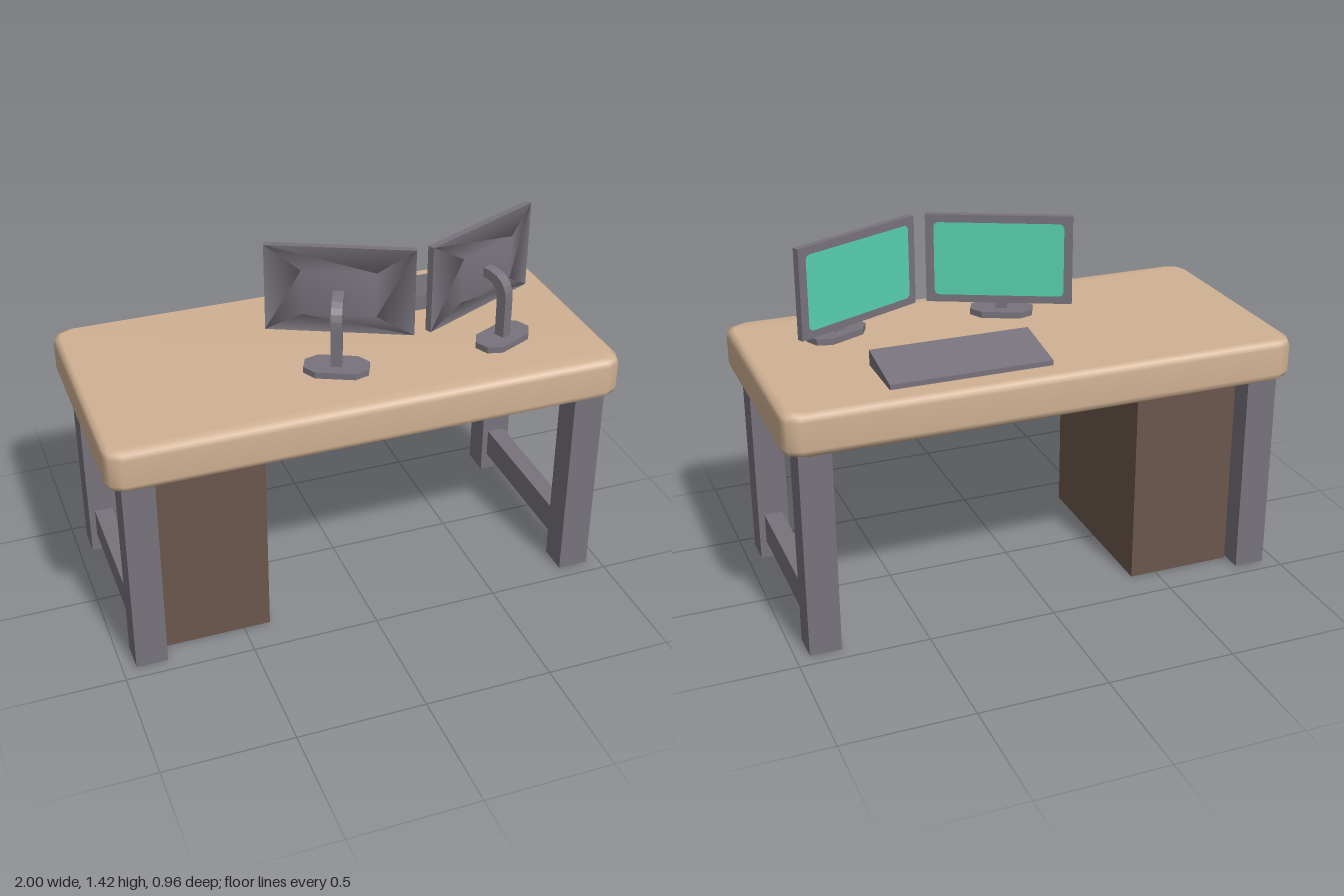
import * as THREE from 'three';

const mat = (name, color, side = THREE.FrontSide) => {
  const m = new THREE.MeshStandardMaterial({ color, side });
  m.name = name;
  return m;
};

function add(parent, name, geometry, material, x = 0, y = 0, z = 0) {
  const mesh = new THREE.Mesh(geometry, material);
  mesh.name = name;
  mesh.position.set(x, y, z);
  parent.add(mesh);
  return mesh;
}

// Smooth solid through stacked outlines; each ring is { y, pts: [[x, z], ...] }
function loft(rings) {
  const n = rings[0].pts.length, pos = [], idx = [];
  rings.forEach(r => r.pts.forEach(([x, z]) => pos.push(x, r.y, z)));
  for (let r = 0; r < rings.length - 1; r++) {
    for (let i = 0; i < n; i++) {
      const a = r * n + i, b = r * n + (i + 1) % n;
      idx.push(a, a + n, b + n, a, b + n, b);
    }
  }
  const top = (rings.length - 1) * n;
  for (let i = 1; i < n - 1; i++) {
    idx.push(0, i, i + 1, top, top + i + 1, top + i);
  }
  const g = new THREE.BufferGeometry();
  g.setAttribute('position', new THREE.Float32BufferAttribute(pos, 3));
  g.setIndex(idx);
  g.computeVertexNormals();
  return g;
}

// Mirrors one quadrant of an outline, listed from the x axis towards the z axis
function fourFold(quarter) {
  const flip = (sx, sz) => quarter.map(([x, z]) => [x * sx, z * sz]);
  return [...flip(1, 1), ...flip(-1, 1).reverse(), ...flip(-1, -1), ...flip(1, -1).reverse()];
}

// Box without top and bottom
function openBox(w, h, d) {
  const g = new THREE.BoxGeometry(w, h, d);
  const idx = Array.from(g.index.array);
  g.setIndex([...idx.slice(0, 12), ...idx.slice(24)]);
  g.clearGroups();
  return g;
}

function roundedRect(w, h, r) {
  const s = new THREE.Shape(), x = w / 2, y = h / 2;
  s.absarc(x - r, y - r, r, 0, Math.PI / 2);
  s.absarc(-x + r, y - r, r, Math.PI / 2, Math.PI);
  s.absarc(-x + r, -y + r, r, Math.PI, Math.PI * 1.5);
  s.absarc(x - r, -y + r, r, Math.PI * 1.5, Math.PI * 2);
  return s;
}

// Screen, stand and foot; local +z is the back of the monitor
function makeMonitor(grey, green) {
  const g = new THREE.Group();
  const w = 0.562, h = 0.35, t = 0.027, midY = 1.25, footZ = 0.134;
  add(g, 'monitorPanel', new THREE.BoxGeometry(w, h, t), grey, 0, midY, 0);

  // shallow bulge on the back
  const bulge = loft([
    { y: t / 2, pts: fourFold([[w / 2, h / 2]]) },
    { y: t / 2 + 0.027, pts: fourFold([[0.14, 0.09]]) },
  ]).rotateX(Math.PI / 2);
  add(g, 'monitorBack', bulge, grey, 0, midY, 0);

  const screen = new THREE.ShapeGeometry(roundedRect(w - 0.065, h - 0.06, 0.02), 4).rotateY(Math.PI);
  add(g, 'monitorScreen', screen, green, 0, midY, -t / 2 - 0.002);

  // bent arm: profile in the depth-height plane, extruded sideways
  const arm = new THREE.Shape();
  arm.moveTo(0.113, 0.99);
  arm.lineTo(0.155, 0.99);
  arm.lineTo(0.155, 1.16);
  arm.bezierCurveTo(0.155, 1.225, 0.12, 1.264, 0.035, 1.264);
  arm.lineTo(0.035, 1.226);
  arm.bezierCurveTo(0.09, 1.226, 0.113, 1.2, 0.113, 1.15);
  arm.closePath();
  const armGeo = new THREE.ExtrudeGeometry(arm, { depth: 0.042, bevelEnabled: false, curveSegments: 6 });
  armGeo.translate(0, 0, -0.021).rotateY(-Math.PI / 2);
  add(g, 'monitorArm', armGeo, grey);

  // stretched octagonal foot
  const foot = new THREE.Shape(
    fourFold([[0.122, 0.03], [0.075, 0.068]]).map(([x, z]) => new THREE.Vector2(x, z)));
  const footGeo = new THREE.ExtrudeGeometry(foot, { depth: 0.027, bevelEnabled: false }).rotateX(-Math.PI / 2);
  add(g, 'monitorFoot', footGeo, grey, 0, 0.978, footZ);
  return g;
}

export function createModel() {
  const desk = new THREE.Group();
  desk.name = 'desk';
  const tan = mat('tanWood', 0xd0b193);
  const brown = mat('darkBrown', 0x69564c, THREE.DoubleSide);
  const grey = mat('grey', 0x78737c);
  const legGrey = grey;
  legGrey.side = THREE.DoubleSide;
  const green = mat('screenGreen', 0x58d0ae);

  // soft-edged tabletop
  const outline = fourFold([[1, 0.42], [0.985, 0.458], [0.94, 0.48]]);
  const profile = [[0.81, 0.024], [0.822, 0.006], [0.842, 0], [0.948, 0], [0.968, 0.006], [0.98, 0.024]];
  const rings = profile.map(([y, inset]) => ({
    y,
    pts: outline.map(([x, z]) => [x - Math.sign(x) * inset, z - Math.sign(z) * inset]),
  }));
  add(desk, 'tabletop', loft(rings), tan);

  // legs and low crossbars
  for (const sx of [-1, 1]) {
    for (const sz of [-1, 1]) {
      add(desk, 'leg', openBox(0.122, 0.807, 0.12), legGrey, sx * 0.886, 0.4035, sz * 0.384);
    }
    add(desk, 'crossbar', new THREE.BoxGeometry(0.072, 0.12, 0.65), grey, sx * 0.886, 0.135, 0);
  }

  // cabinet under the right side
  add(desk, 'cabinet', openBox(0.42, 0.79, 0.73), brown, -0.605, 0.395, 0);

  // wedge-shaped keyboard
  const wedge = new THREE.Shape([
    [-0.385, 0.979], [-0.137, 0.979], [-0.137, 1.04], [-0.385, 1.0],
  ].map(([z, y]) => new THREE.Vector2(z, y)));
  const wedgeGeo = new THREE.ExtrudeGeometry(wedge, { depth: 0.624, bevelEnabled: false });
  wedgeGeo.translate(0, 0, -0.312).rotateY(-Math.PI / 2);
  add(desk, 'keyboard', wedgeGeo, grey, 0.278, 0, 0);

  // two monitors angled towards the seat
  for (const s of [-1, 1]) {
    const m = makeMonitor(grey, green);
    m.name = s > 0 ? 'leftMonitor' : 'rightMonitor';
    m.position.set(0.2825 + s * 0.2825, 0, 0.073);
    m.rotation.y = s * THREE.MathUtils.degToRad(25);
    desk.add(m);
  }
  return desk;
}
